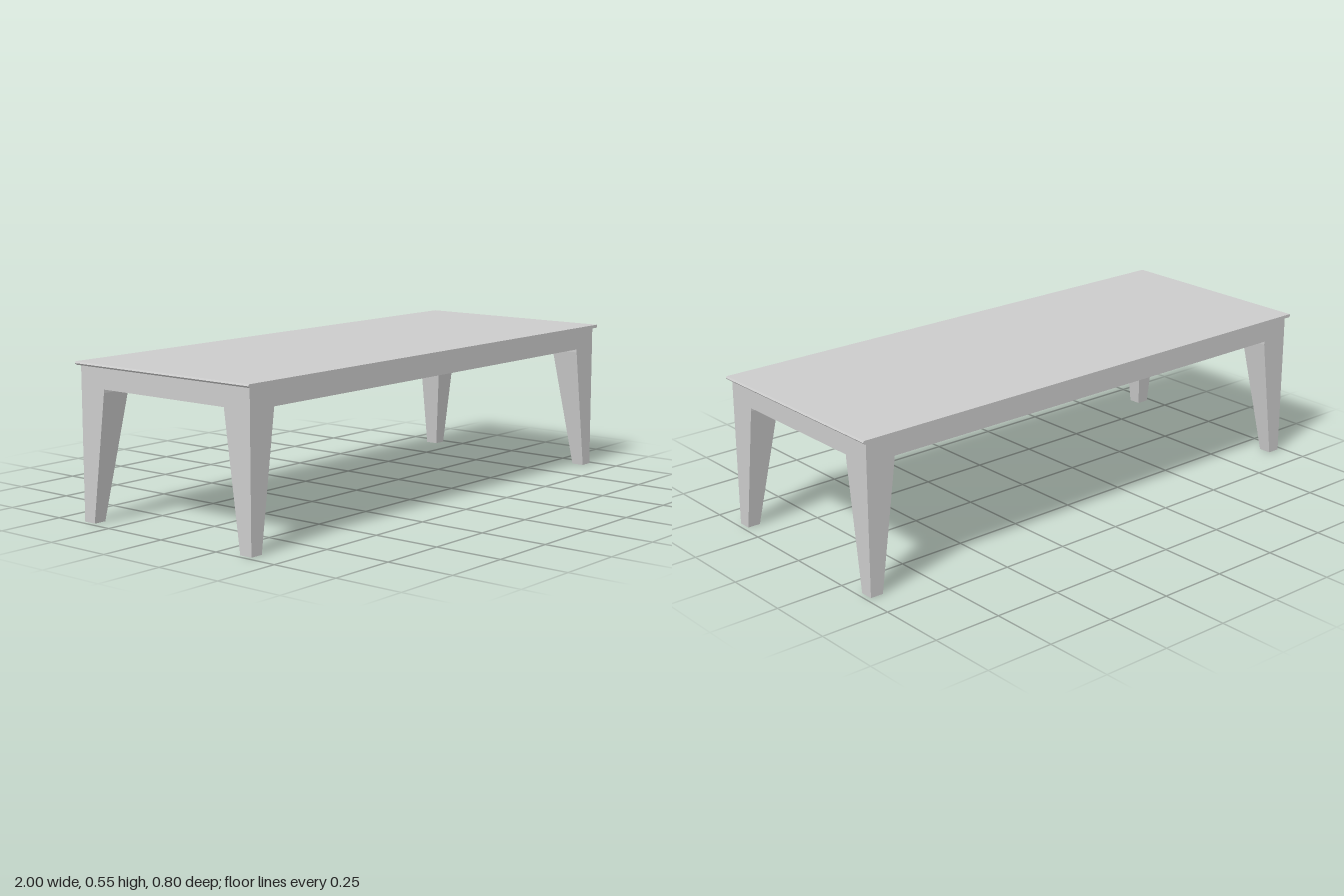
import * as THREE from 'three';

const material = new THREE.MeshStandardMaterial({ color: 0xcccccc, flatShading: true });
const OUT_X = 0.982, OUT_Z = 0.387;        // outer faces of the frame
const LEG_TOP = 0.11, LEG_FOOT = 0.048;    // leg widths
const RAIL_LOW = 0.467, RAIL_HIGH = 0.541, RAIL_THICK = 0.052;

function addMesh(group, name, geometry, x = 0, y = 0, z = 0) {
  const mesh = new THREE.Mesh(geometry, material);
  mesh.name = name;
  mesh.position.set(x, y, z);
  group.add(mesh);
}

// Square leg: outer corner stays vertical, inner faces taper to the foot
function legGeometry(sx, sz) {
  const geometry = new THREE.BoxGeometry(1, 1, 1, 1, 2, 1);
  const p = geometry.attributes.position;
  for (let i = 0; i < p.count; i++) {
    const level = Math.round(p.getY(i) * 2) + 1;
    const width = level === 0 ? LEG_FOOT : LEG_TOP;
    const inX = p.getX(i) * sx < 0 ? width : 0;
    const inZ = p.getZ(i) * sz < 0 ? width : 0;
    p.setXYZ(i, sx * (OUT_X - inX), [0, 0.455, RAIL_HIGH][level], sz * (OUT_Z - inZ));
  }
  const flat = geometry.toNonIndexed();
  flat.computeVertexNormals();
  return flat;
}

export function createModel() {
  const table = new THREE.Group();
  table.name = 'table';

  // Thin top with bevelled ends
  const profile = new THREE.Shape([
    [-0.994, 0.541], [0.994, 0.541], [1, 0.547], [0.996, 0.553],
    [-0.996, 0.553], [-1, 0.547],
  ].map(([x, y]) => new THREE.Vector2(x, y)));
  const top = new THREE.ExtrudeGeometry(profile, { depth: 0.796, bevelEnabled: false });
  addMesh(table, 'tableTop', top, 0, 0, -0.398);

  // Legs at the four corners
  for (const sx of [-1, 1]) {
    for (const sz of [-1, 1]) {
      addMesh(table, `${sz > 0 ? 'front' : 'back'}${sx > 0 ? 'Left' : 'Right'}Leg`, legGeometry(sx, sz));
    }
  }

  // Apron rails between the legs, flush with their outer faces
  const railHeight = RAIL_HIGH - RAIL_LOW;
  const railY = (RAIL_HIGH + RAIL_LOW) / 2;
  const longRail = new THREE.BoxGeometry(2 * (OUT_X - LEG_TOP), railHeight, RAIL_THICK);
  const shortRail = new THREE.BoxGeometry(RAIL_THICK, railHeight, 2 * (OUT_Z - LEG_TOP));
  for (const s of [-1, 1]) {
    addMesh(table, s > 0 ? 'frontRail' : 'backRail', longRail, 0, railY, s * (OUT_Z - RAIL_THICK / 2));
    addMesh(table, s > 0 ? 'leftRail' : 'rightRail', shortRail, s * (OUT_X - RAIL_THICK / 2), railY, 0);
  }
  return table;
}
